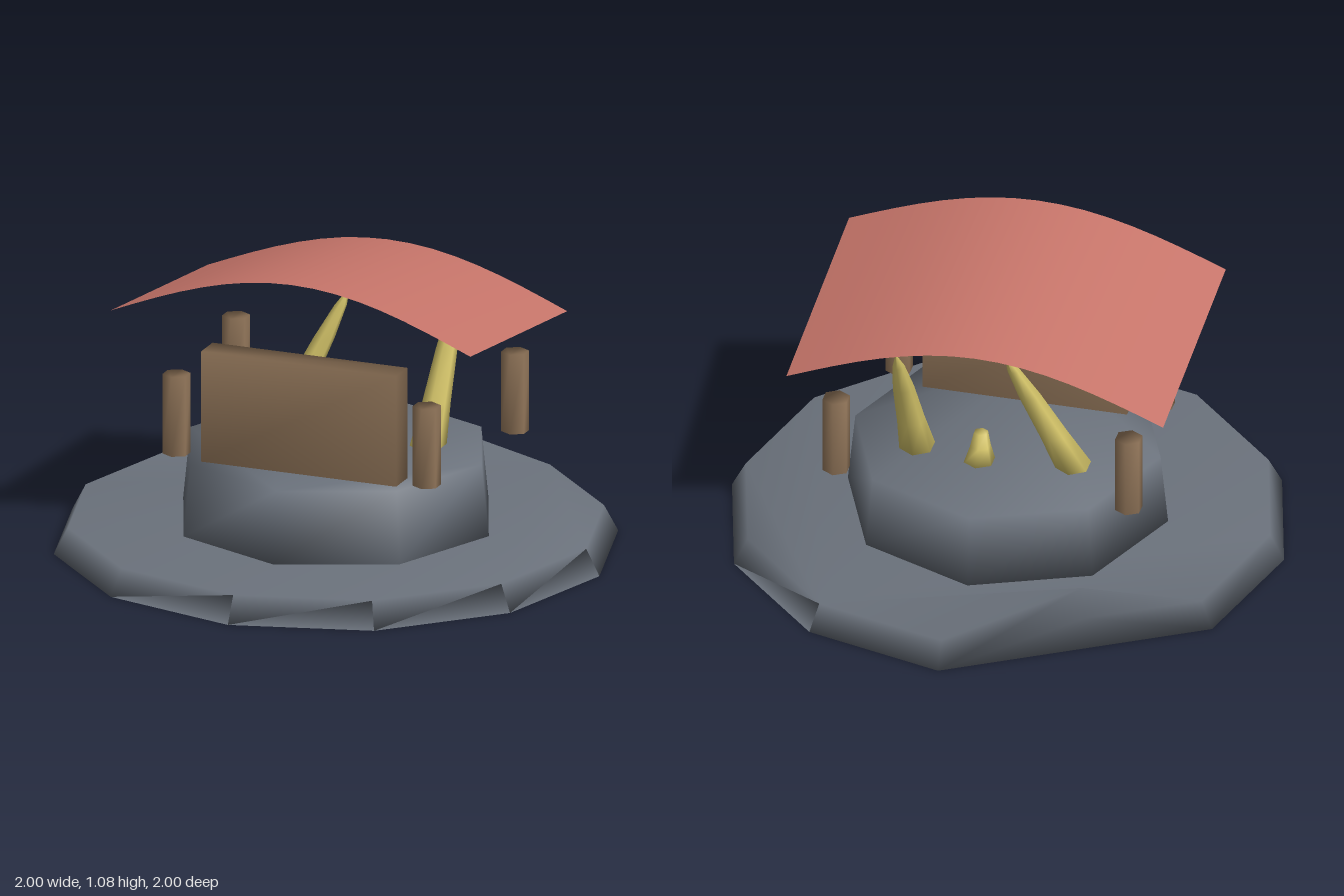
import * as THREE from 'three';

const slate = new THREE.MeshStandardMaterial({ color: 0x6b727c, name: 'slate' });
const wood = new THREE.MeshStandardMaterial({ color: 0x92765a, name: 'wood' });
const horn = new THREE.MeshStandardMaterial({ color: 0xd2c268, name: 'horn' });
const clay = new THREE.MeshStandardMaterial({ color: 0xc7756a, name: 'clay', side: THREE.DoubleSide });

// Ring of n points around (x, y, z), counter-clockwise from above
function ring(n, rx, rz, x, y, z) {
  return Array.from({ length: n }, (_, i) => {
    const a = (i / n) * Math.PI * 2;
    return [x + Math.sin(a) * rx, y, z + Math.cos(a) * rz];
  });
}

// Closed solid through rings, softly shaded; caps fan out from a chosen corner
function loft(rings, topStart = 0, bottomStart = 0) {
  const n = rings[0].length;
  const last = (rings.length - 1) * n;
  const index = [];
  for (let r = 0; r < rings.length - 1; r++) {
    for (let i = 0; i < n; i++) {
      const a = r * n + i;
      const b = r * n + ((i + 1) % n);
      index.push(a, b, b + n, a, b + n, a + n);
    }
  }
  for (let i = 1; i < n - 1; i++) {
    const t = (k) => last + ((topStart + k) % n);
    const b = (k) => (bottomStart + k) % n;
    index.push(t(0), t(i), t(i + 1), b(0), b(i + 1), b(i));
  }
  const g = new THREE.BufferGeometry();
  g.setAttribute('position', new THREE.Float32BufferAttribute(rings.flat(2), 3));
  g.setIndex(index);
  g.computeVertexNormals();
  return g;
}

export function createModel() {
  const group = new THREE.Group();
  const add = (name, geometry, material) => {
    const mesh = new THREE.Mesh(geometry, material);
    mesh.name = name;
    group.add(mesh);
  };

  // Wide base disc with one rim corner pulled up at the back
  const low = ring(12, 1, 1, 0, 0, 0);
  const high = ring(12, 0.95, 0.95, 0, 0.095, 0);
  low[7][1] += 0.215;
  high[7][1] += 0.215;
  add('baseDisc', loft([low, high], 5, 8), slate);

  // Eight-sided platform
  add('platform', loft([ring(8, 0.58, 0.58, 0, 0.095, 0), ring(8, 0.553, 0.553, 0, 0.357, 0)]), slate);

  // Front board
  const slab = (y) => [[-0.37, y, 0.345], [0.37, y, 0.345], [0.37, y, 0.24], [-0.37, y, 0.24]];
  add('frontBoard', loft([slab(0.357), slab(0.765)]), wood);

  // Four posts
  for (const side of [-1, 1]) {
    for (const [name, x, z] of [['frontPost', 0.475, 0.318], ['backPost', 0.53, -0.365]]) {
      const section = (y) => ring(6, 0.05, 0.049, side * x, y, z);
      add(name, loft([section(0.368), section(0.662)]), wood);
    }
  }

  // Leaning horns, from base centre to tip
  const horns = [
    [[0.295, -0.13], [0.32, -0.34]],
    [[-0.27, -0.12], [-0.055, -0.255]],
  ];
  for (const [from, to] of horns) {
    const rings = [[0, 0.065], [0.3, 0.05], [0.65, 0.038], [0.88, 0.022], [1, 0.002]].map(([t, r]) =>
      ring(6, r, r * 1.1, from[0] + (to[0] - from[0]) * t, 0.35 + 0.505 * t, from[1] + (to[1] - from[1]) * t));
    add('horn', loft(rings), horn);
  }

  // Small stub between the horns
  add('stub', loft([
    ring(6, 0.06, 0.06, 0.06, 0.35, -0.175),
    ring(6, 0.038, 0.038, 0.06, 0.41, -0.16),
    ring(6, 0.026, 0.026, 0.06, 0.46, -0.15),
  ]), horn);

  // Arched sheet roof, higher at the front
  const roof = new THREE.PlaneGeometry(1.365, 0.895, 16, 1).rotateX(-Math.PI / 2).translate(0, 0, -0.0275);
  const p = roof.attributes.position;
  for (let i = 0; i < p.count; i++) {
    const arch = 0.18 * Math.cos((p.getX(i) / 0.6825) * Math.PI / 2);
    p.setY(i, 0.795 + arch + 0.105 * (p.getZ(i) + 0.475) / 0.895);
  }
  roof.computeVertexNormals();
  add('roof', roof, clay);

  return group;
}
